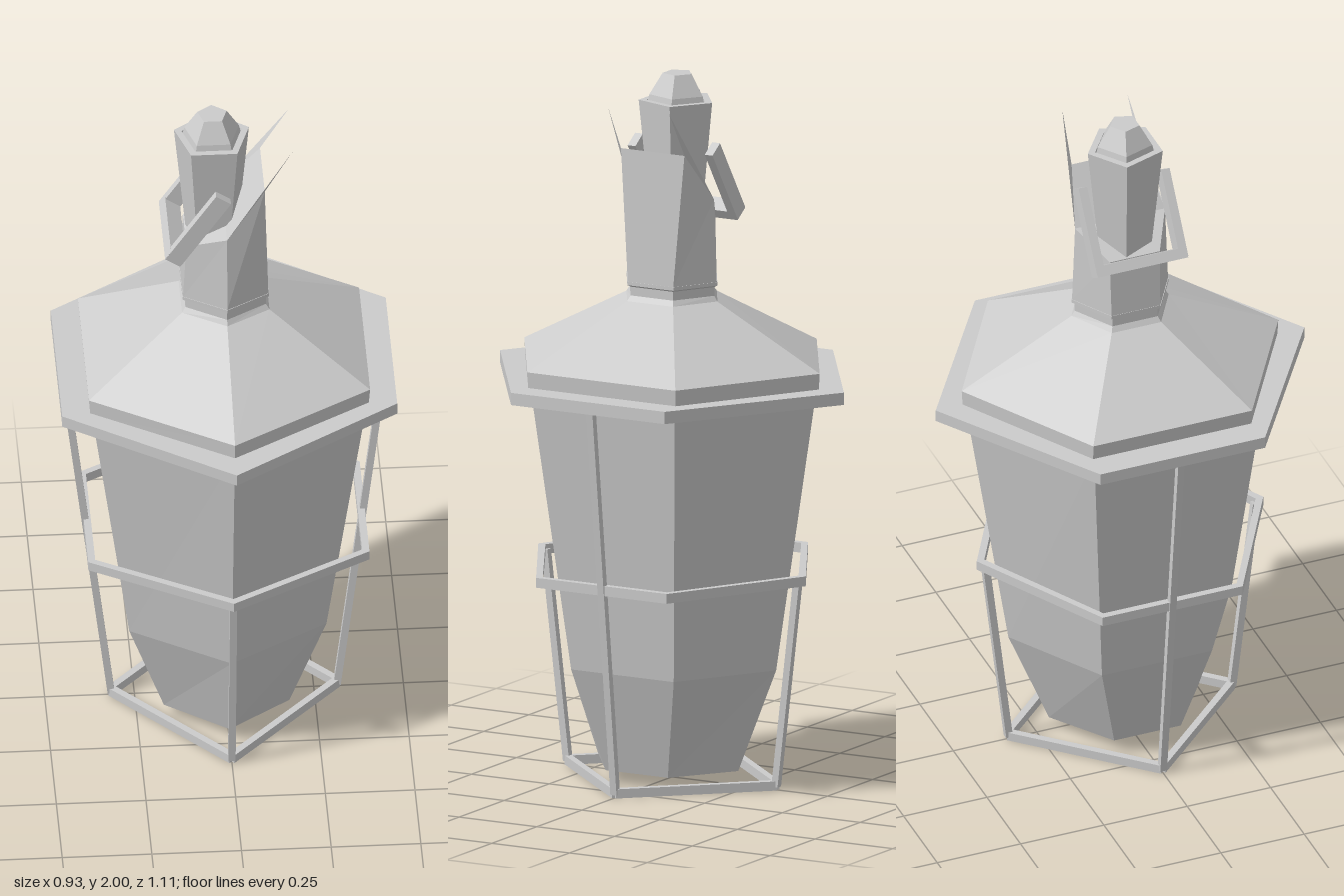
import * as THREE from 'three';

const material = new THREE.MeshStandardMaterial({ color: 0xcccccc, flatShading: true, side: THREE.DoubleSide });

function addMesh(parent, name, geometry) {
  const mesh = new THREE.Mesh(geometry, material);
  mesh.name = name;
  parent.add(mesh);
  return mesh;
}

// Faceted skin through cross-sections of equal point count, listed bottom to top
function loft(rings, caps = true) {
  const out = [];
  const tri = (...points) => points.forEach((p) => out.push(...p));
  const n = rings[0].length;
  for (let i = 0; i < rings.length - 1; i++) {
    for (let j = 0; j < n; j++) {
      const k = (j + 1) % n;
      const a = rings[i][j], b = rings[i][k], c = rings[i + 1][k], d = rings[i + 1][j];
      tri(a, b, c);
      tri(a, c, d);
    }
  }
  if (caps) {
    const bottom = rings[0], top = rings[rings.length - 1];
    for (let j = 1; j < n - 1; j++) {
      tri(bottom[0], bottom[j + 1], bottom[j]);
      tri(top[0], top[j], top[j + 1]);
    }
  }
  const geometry = new THREE.BufferGeometry();
  geometry.setAttribute('position', new THREE.Float32BufferAttribute(out, 3));
  geometry.computeVertexNormals();
  return geometry;
}

// Hexagon with corners on the z axis: side reach rx, side corner cz, front reach rz
const hex = (y, rx, cz, rz, dz = 0) =>
  [[0, rz], [rx, cz], [rx, -cz], [0, -rz], [-rx, -cz], [-rx, cz]].map(([x, z]) => [x, y, z + dz]);

// Pentagon around the stopper axis, one corner towards the back
const pentagon = (y, r) => Array.from({ length: 5 }, (_, i) => {
  const a = Math.PI + (i * Math.PI * 2) / 5;
  return [-0.033 + r * Math.sin(a), y, r * Math.cos(a)];
});

// Hollow hexagonal band
function hexBand(y0, y1, outer, inner) {
  return loft([hex(y0, ...outer), hex(y1, ...outer), hex(y1, ...inner), hex(y0, ...inner), hex(y0, ...outer)], false);
}

// Square-section bar between two points
function addBar(parent, name, a, b, thickness = 0.02, depth = thickness) {
  const start = new THREE.Vector3(...a), end = new THREE.Vector3(...b);
  const bar = addMesh(parent, name, new THREE.BoxGeometry(thickness, depth, start.distanceTo(end)));
  bar.position.copy(start).add(end).multiplyScalar(0.5);
  bar.lookAt(end);
}

export function createModel() {
  const model = new THREE.Group();
  model.name = 'flask';

  // Tapered body, lid and collar
  addMesh(model, 'body', loft([
    hex(0.04, 0.175, 0.1, 0.225, 0.012),
    hex(0.34, 0.275, 0.165, 0.335),
    hex(1.155, 0.385, 0.232, 0.465),
  ]));
  addMesh(model, 'lid', loft([
    hex(1.15, 0.388, 0.237, 0.472),
    hex(1.2, 0.392, 0.238, 0.475),
    hex(1.37, 0.122, 0.074, 0.145),
  ]));
  addMesh(model, 'collar', loft([
    hex(1.37, 0.122, 0.074, 0.146),
    hex(1.385, 0.112, 0.068, 0.136),
    hex(1.41, 0.112, 0.068, 0.136),
    hex(1.415, 0.12, 0.074, 0.146),
    hex(1.425, 0.12, 0.074, 0.146),
  ]));

  // Neck with an oblique mouth that rises to the pouring lip
  addMesh(model, 'neck', loft([
    hex(1.425, 0.119, 0.073, 0.144),
    [[0, 1.66, 0.135], [0.107, 1.8, 0.102], [0.107, 1.8, -0.102],
      [0, 1.66, -0.135], [-0.11, 1.6, -0.075], [-0.11, 1.6, 0.075]],
  ]));
  const lip = [[0.107, 1.8, 0.102], [0.187, 1.935, 0.098], [0.187, 1.935, -0.098], [0.107, 1.8, -0.102]];
  const lipInner = [[0, 1.66, 0.135], ...lip.slice(1, 3), [0, 1.66, -0.135]];
  addMesh(model, 'pouringLip', loft([lip, lipInner], false));

  // Pentagonal stopper and its cap
  addMesh(model, 'stopper', loft([
    pentagon(1.58, 0.075), pentagon(1.925, 0.11), pentagon(1.925, 0.088), pentagon(1.91, 0.084),
  ]));
  addMesh(model, 'stopperCap', loft([pentagon(1.905, 0.088), pentagon(1.94, 0.08), pentagon(2, 0.043)]));

  // Hinged handle
  const handle = new THREE.Group();
  handle.name = 'handle';
  model.add(handle);
  for (const s of [-1, 1]) {
    addBar(handle, 'handleArm', [-0.15, 1.592, s * 0.124], [-0.01, 1.8, s * 0.124], 0.025, 0.05);
  }
  const grip = addMesh(handle, 'handleGrip', new THREE.BoxGeometry(0.03, 0.05, 0.27));
  grip.position.set(-0.144, 1.602, 0);
  grip.rotation.z = Math.atan2(0.208, 0.14);

  // Cage: rim plate, middle band, square foot and four rods
  const cage = new THREE.Group();
  cage.name = 'cage';
  model.add(cage);
  addMesh(cage, 'rimPlate', hexBand(1.12, 1.155, [0.467, 0.247, 0.553], [0.38, 0.23, 0.46]));
  addMesh(cage, 'middleBand', hexBand(0.59, 0.618, [0.392, 0.21, 0.43], [0.372, 0.2, 0.407]));
  const feet = [[0.315, 0], [0, -0.335], [-0.315, 0], [0, 0.335]];
  feet.forEach(([x, z], i) => {
    const [nx, nz] = feet[(i + 1) % 4];
    addBar(cage, 'footBar', [x, 0.013, z], [nx, 0.013, nz], 0.02, 0.026);
    if (x) addBar(cage, 'sideRod', [x, 0.01, 0], [Math.sign(x) * 0.45, 1.13, 0]);
    else addBar(cage, 'endRod', [0, 0.01, z], [0, 0.605, Math.sign(z) * 0.405]);
  });
  return model;
}
